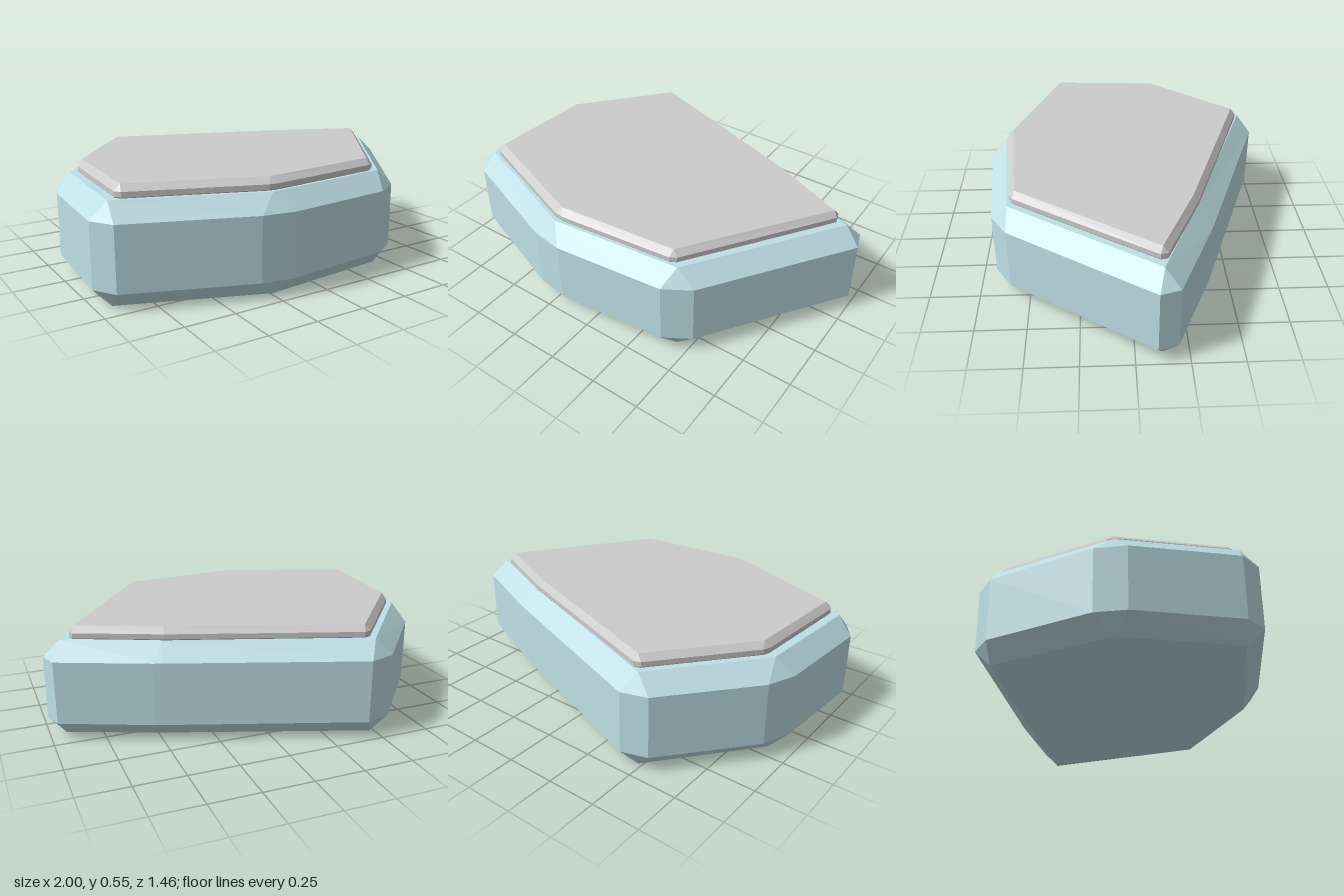
import * as THREE from 'three';

// Bevelled slab. Each corner is [innerX, innerZ, inX, inZ, outX, outZ]: a cap corner
// that splits into two wall corners. Corners run clockwise seen from above.
function bevelledSlab(corners, [y0, y1, y2, y3]) {
  const pos = [];
  const n = corners.length;
  const at = (i, k, y) => {
    const c = corners[(i + n) % n];
    return [c[k], y, c[k + 1]];
  };
  const tri = (a, b, c) => pos.push(...a, ...b, ...c);
  const quad = (a, b, c, d) => { tri(a, b, c); tri(a, c, d); };

  for (let i = 0; i < n; i++) {
    const j = i + 1;
    // upright walls: long side and narrow corner facet
    quad(at(i, 4, y1), at(i, 4, y2), at(j, 2, y2), at(j, 2, y1));
    quad(at(i, 2, y1), at(i, 2, y2), at(i, 4, y2), at(i, 4, y1));
    // upper bevel
    quad(at(i, 4, y2), at(i, 0, y3), at(j, 0, y3), at(j, 2, y2));
    tri(at(i, 2, y2), at(i, 0, y3), at(i, 4, y2));
    // lower bevel
    quad(at(i, 0, y0), at(i, 4, y1), at(j, 2, y1), at(j, 0, y0));
    tri(at(i, 0, y0), at(i, 2, y1), at(i, 4, y1));
    // flat caps
    if (i > 0 && i < n - 1) {
      tri(at(0, 0, y3), at(j, 0, y3), at(i, 0, y3));
      tri(at(0, 0, y0), at(i, 0, y0), at(j, 0, y0));
    }
  }
  const geo = new THREE.BufferGeometry();
  geo.setAttribute('position', new THREE.Float32BufferAttribute(pos, 3));
  geo.computeVertexNormals();
  return geo;
}

export function createModel() {
  const group = new THREE.Group();
  group.name = 'steppingStone';

  const add = (name, color, corners, heights) => {
    const mesh = new THREE.Mesh(
      bevelledSlab(corners, heights),
      new THREE.MeshStandardMaterial({ color, flatShading: true })
    );
    mesh.name = name;
    group.add(mesh);
  };

  // thick irregular stone
  add('stoneBody', 0xbfe0e6, [
    [-0.48, -0.66, -0.56, -0.69, -0.43, -0.73],
    [0.47, -0.31, 0.5, -0.395, 0.54, -0.38],
    [0.92, -0.125, 0.97, -0.195, 1.0, -0.1],
    [0.43, 0.585, 0.525, 0.59, 0.395, 0.67],
    [-0.24, 0.65, -0.17, 0.725, -0.33, 0.7],
    [-0.92, 0.39, -0.93, 0.475, -1.0, 0.37],
    [-0.88, -0.18, -0.965, -0.14, -0.91, -0.28],
  ], [0, 0.085, 0.4, 0.485]);

  // thin plate set into the top
  add('topPlate', 0xcccccc, [
    [-0.445, -0.613, -0.47, -0.627, -0.435, -0.637],
    [0.458, -0.295, 0.465, -0.32, 0.475, -0.315],
    [0.85, -0.12, 0.862, -0.145, 0.87, -0.11],
    [0.385, 0.55, 0.412, 0.56, 0.38, 0.578],
    [-0.225, 0.605, -0.205, 0.635, -0.25, 0.63],
    [-0.85, 0.37, -0.86, 0.4, -0.88, 0.37],
    [-0.815, -0.175, -0.845, -0.16, -0.83, -0.2],
  ], [0.46, 0.49, 0.515, 0.545]);

  return group;
}
